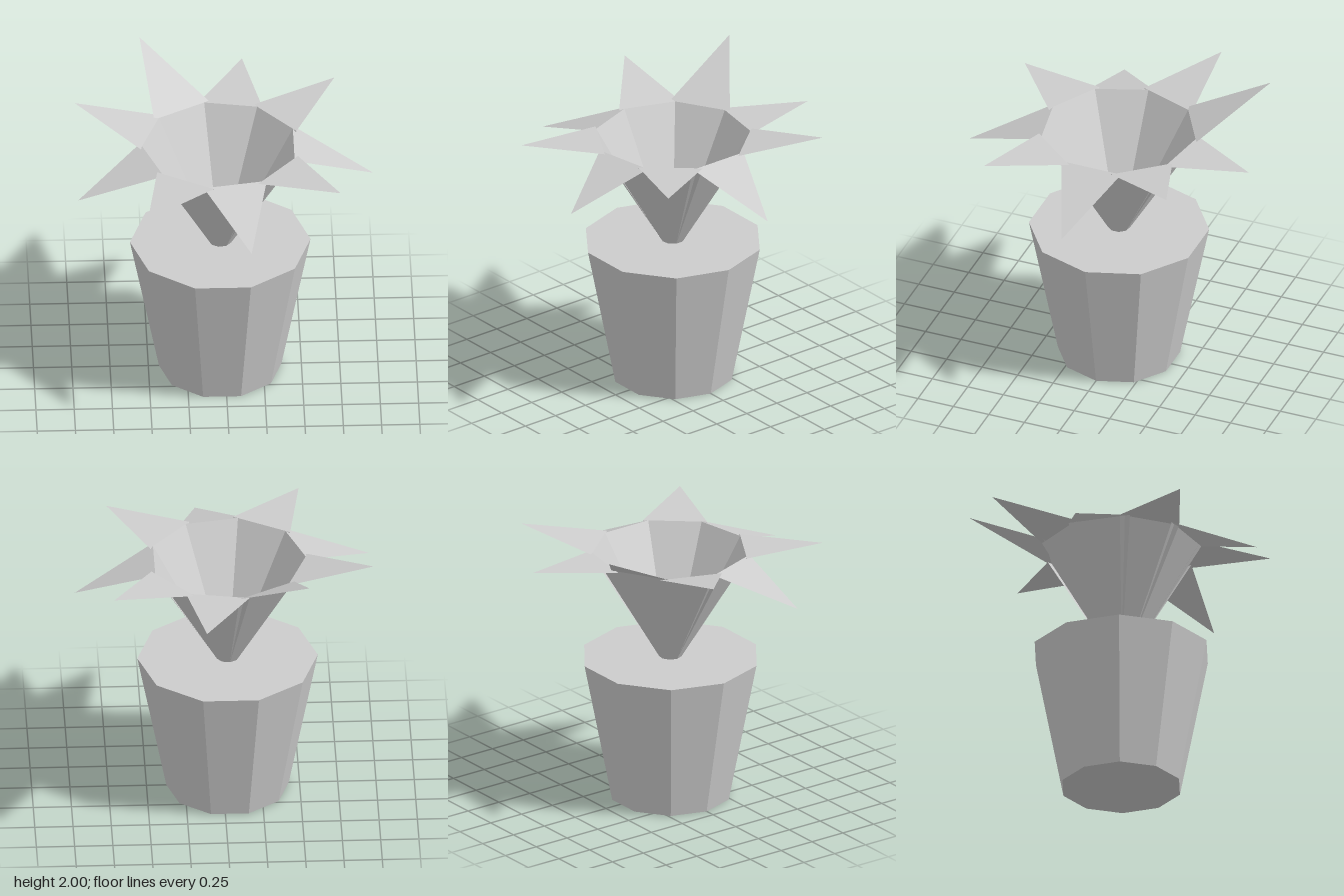
import * as THREE from 'three';

const potGrey = new THREE.MeshStandardMaterial({ color: 0xcccccc, flatShading: true, side: THREE.DoubleSide });
potGrey.name = 'light grey';

const POT_HEIGHT = 0.97;
const RIM_Y = 1.72;

// One leaf pointing along +x: a flaring panel from the soil, then a bent pointed tip
function leafGeometry(tipY) {
  const corners = [
    0.07, POT_HEIGHT, 0.026, 0.07, POT_HEIGHT, -0.026, // base
    0.48, RIM_Y, 0.21, 0.48, RIM_Y, -0.21,             // fold
    1.0, tipY, 0,                                      // tip
  ];
  const geometry = new THREE.BufferGeometry();
  geometry.setAttribute('position', new THREE.Float32BufferAttribute(corners, 3));
  // front sides face up and inwards
  geometry.setIndex([0, 3, 1, 0, 2, 3, 2, 4, 3]);
  const flat = geometry.toNonIndexed();
  flat.computeVertexNormals();
  return flat;
}

export function createModel() {
  const model = new THREE.Group();
  model.name = 'pottedPlant';

  // Ten-sided tapered pot with closed top and bottom
  const pot = new THREE.Mesh(
    new THREE.CylinderGeometry(0.59, 0.4, POT_HEIGHT, 10, 1, false, Math.PI / 2),
    potGrey,
  );
  pot.name = 'pot';
  pot.position.set(-0.03, POT_HEIGHT / 2, 0);
  model.add(pot);

  // Nine overlapping leaves, each with its own tip height, going round from +x towards +z
  const leaves = new THREE.Group();
  leaves.name = 'leaves';
  leaves.position.x = -0.03;
  const tipHeights = [1.48, 1.75, 1.515, 1.72, 1.53, 1.84, 2.0, 1.74, 1.805];
  tipHeights.forEach((tipY, i) => {
    const leaf = new THREE.Mesh(leafGeometry(tipY), potGrey);
    leaf.name = `leaf${i + 1}`;
    leaf.rotation.y = -i * Math.PI * 2 / tipHeights.length;
    leaves.add(leaf);
  });
  model.add(leaves);

  return model;
}
